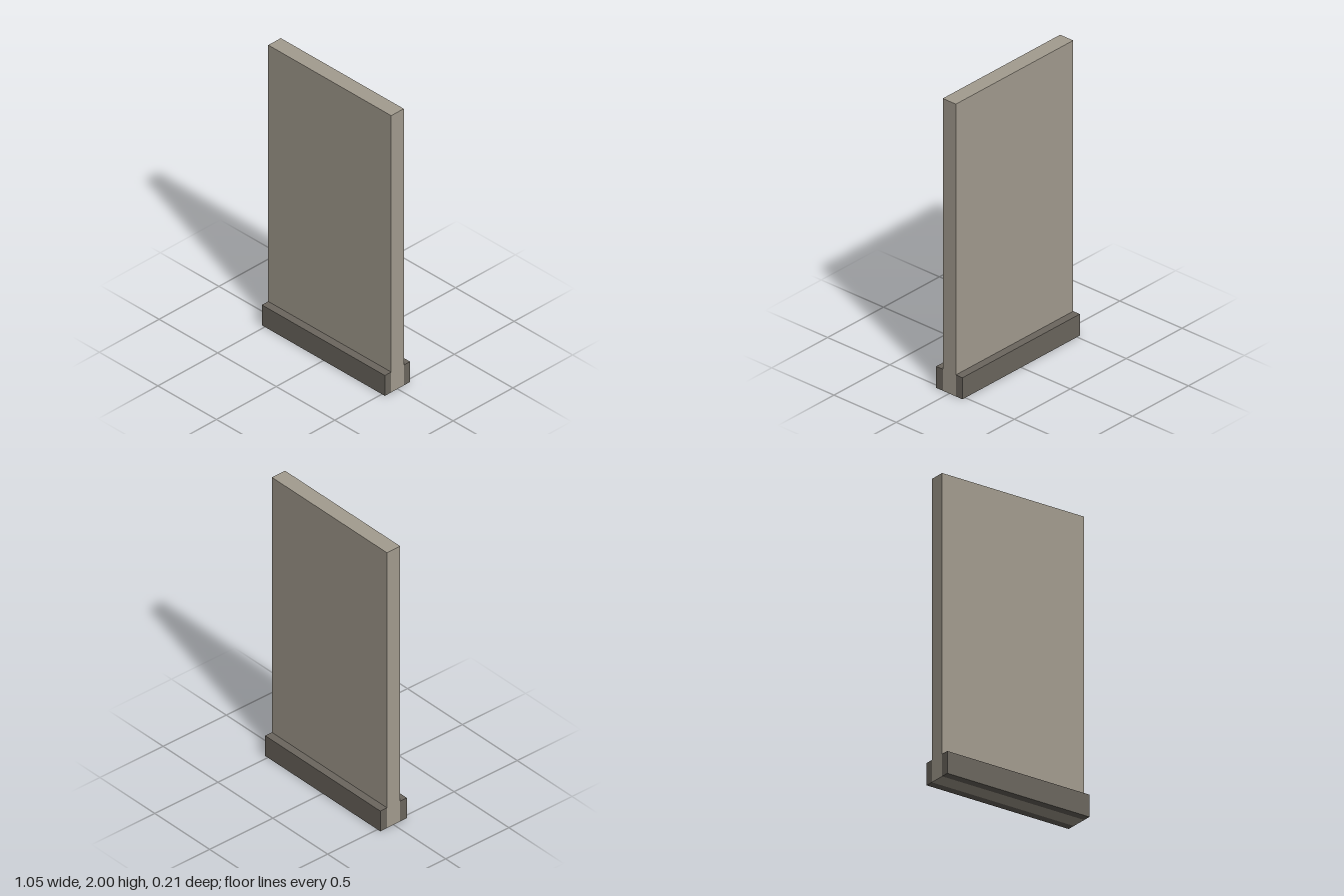
import * as THREE from 'three';

const WIDTH = 1.05, HEIGHT = 2, THICKNESS = 0.105;
const BOARD_HEIGHT = 0.147, BOARD_DEPTH = 0.053;

function box(name, w, h, d, y, z, color) {
  const material = new THREE.MeshStandardMaterial({ color });
  const mesh = new THREE.Mesh(new THREE.BoxGeometry(w, h, d), material);
  mesh.name = name;
  mesh.position.set(0, y, z);
  return mesh;
}

export function createModel() {
  const model = new THREE.Group();
  model.name = 'wallPanel';

  // Plain upright slab
  model.add(box('wall', WIDTH, HEIGHT, THICKNESS, HEIGHT / 2, 0, 0xa39c8f));

  // Darker baseboards along the foot of both faces
  for (const [name, side] of [['frontBaseboard', 1], ['backBaseboard', -1]]) {
    const z = side * (THICKNESS + BOARD_DEPTH) / 2;
    model.add(box(name, WIDTH, BOARD_HEIGHT, BOARD_DEPTH, BOARD_HEIGHT / 2, z, 0x6b665e));
  }
  return model;
}
